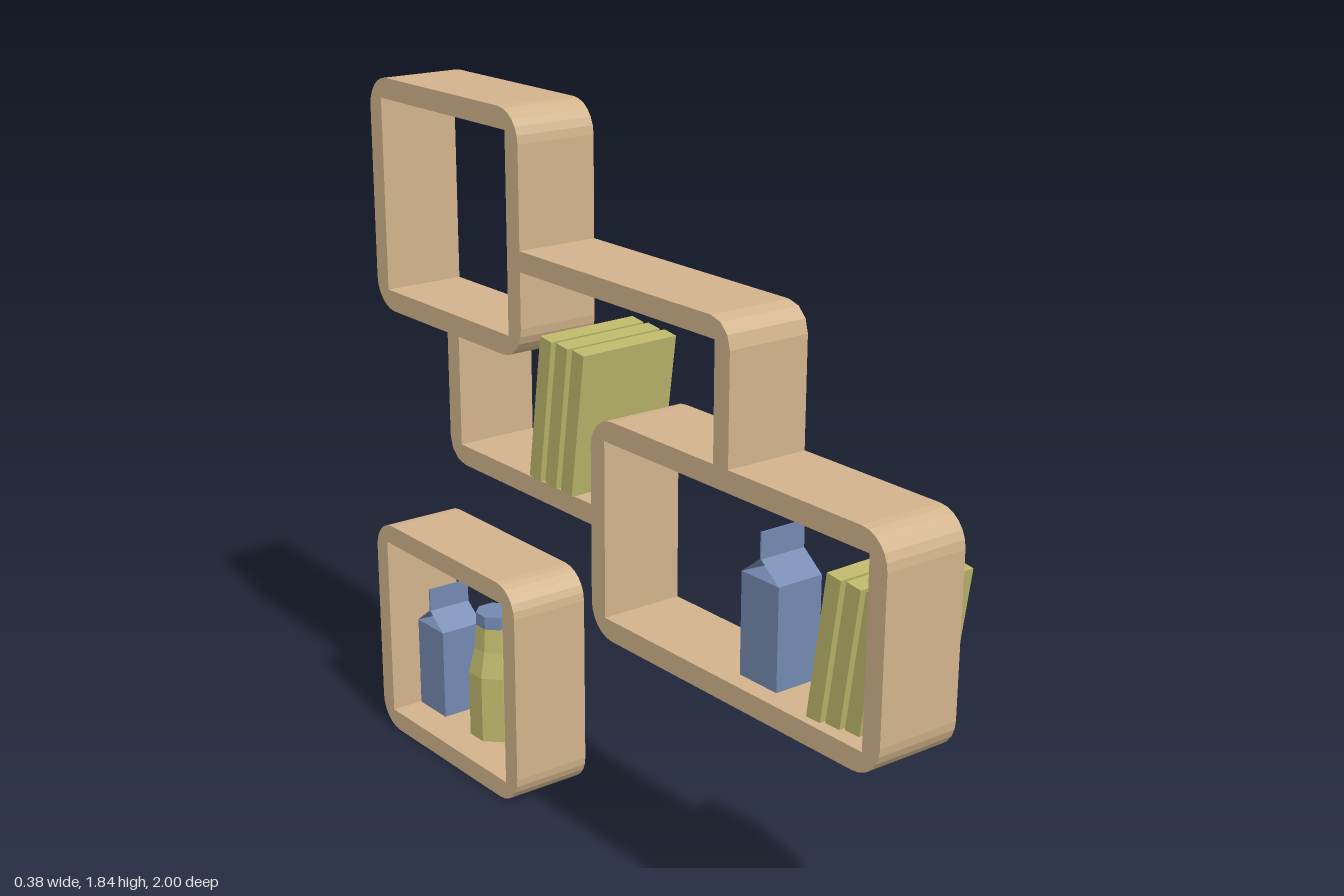
import * as THREE from 'three';

const wood = new THREE.MeshStandardMaterial({ color: 0xd2b48c });
const khaki = new THREE.MeshStandardMaterial({ color: 0xbdb76b, flatShading: true });
const blue = new THREE.MeshStandardMaterial({ color: 0x7489b0, flatShading: true, side: THREE.DoubleSide });

const FRONT = 0.09, DEPTH = 0.22, BOARD = 0.053;

function mesh(name, geometry, material, x = 0, y = 0, z = 0) {
  const m = new THREE.Mesh(geometry, material);
  m.name = name;
  m.position.set(x, y, z);
  return m;
}

// Outline drawn in (z, y), extruded across the shelf depth along x
function board(name, shape) {
  const geo = new THREE.ExtrudeGeometry(shape, { depth: DEPTH, bevelEnabled: false, curveSegments: 3 });
  geo.rotateY(-Math.PI / 2);
  return mesh(name, geo, wood, FRONT);
}

// Box frame: rounded outside, square opening
function frame(name, z0, z1, y0, y1) {
  const r = 0.08, t = BOARD, s = new THREE.Shape();
  s.absarc(z1 - r, y0 + r, r, -Math.PI / 2, 0);
  s.absarc(z1 - r, y1 - r, r, 0, Math.PI / 2);
  s.absarc(z0 + r, y1 - r, r, Math.PI / 2, Math.PI);
  s.absarc(z0 + r, y0 + r, r, Math.PI, Math.PI * 1.5);
  s.closePath();
  const hole = new THREE.Path();
  hole.moveTo(z0 + t, y0 + t);
  hole.lineTo(z0 + t, y1 - t);
  hole.lineTo(z1 - t, y1 - t);
  hole.lineTo(z1 - t, y0 + t);
  hole.closePath();
  s.holes.push(hole);
  return board(name, s);
}

// L-shaped connector: corner at (zc, yc), arms reaching zEnd and yEnd
function connector(name, zc, yc, zEnd, yEnd) {
  const r = 0.065, t = 0.051;
  const dz = Math.sign(zEnd - zc), dy = Math.sign(yEnd - yc);
  const s = new THREE.Shape();
  s.moveTo(zEnd, yc);
  s.lineTo(zc + dz * r, yc);
  for (let i = 1; i <= 3; i++) {
    const a = (i / 3) * Math.PI / 2;
    s.lineTo(zc + dz * r * (1 - Math.sin(a)), yc + dy * r * (1 - Math.cos(a)));
  }
  s.lineTo(zc, yEnd);
  s.lineTo(zc + dz * t, yEnd);
  s.lineTo(zc + dz * t, yc + dy * t);
  s.lineTo(zEnd, yc + dy * t);
  s.closePath();
  return board(name, s);
}

// Three leaning books, slightly staggered
function books(name, x, y, z) {
  const g = new THREE.Group();
  g.name = name;
  g.position.set(x, y, z);
  g.rotation.x = 0.145;
  for (let i = -1; i <= 1; i++) {
    const b = mesh('book', new THREE.BoxGeometry(0.275, 0.36, 0.043), khaki, i * 0.01, 0, i * 0.05);
    b.rotation.y = 0.025;
    g.add(b);
  }
  return g;
}

// Gable-top carton: ridge and fin run along x, gable ends folded inward
function carton(name, x, y, z) {
  const g = new THREE.Group();
  g.name = name;
  g.position.set(x, y, z);
  const w = 0.0625, h = 0.252, ridge = 0.3, top = 0.362;
  g.add(mesh('cartonBody', new THREE.BoxGeometry(2 * w, h, 2 * w), blue, 0, h / 2, 0));
  const v = [];
  for (const s of [1, -1]) {
    const a = [s * w, h, s * w], b = [s * w, h, -s * w], c = [-s * w, h, s * w];
    const r = [s * w, ridge, 0], q = [-s * w, ridge, 0], fold = [s * (w - 0.03), h + 0.028, 0];
    v.push(...c, ...a, ...r, ...c, ...r, ...q); // roof slope
    v.push(...a, ...b, ...fold, ...a, ...fold, ...r, ...b, ...r, ...fold); // folded gable
  }
  const roof = new THREE.BufferGeometry();
  roof.setAttribute('position', new THREE.Float32BufferAttribute(v, 3));
  roof.computeVertexNormals();
  g.add(mesh('cartonRoof', roof, blue));
  g.add(mesh('cartonFin', new THREE.BoxGeometry(2 * w, top - ridge + 0.004, 0.004), blue, 0, (top + ridge) / 2 - 0.002, 0));
  return g;
}

// Eight-sided bottle with a cap
function bottle(name, x, y, z) {
  const g = new THREE.Group();
  g.name = name;
  g.position.set(x, y, z);
  const lathe = (pts) => new THREE.LatheGeometry(pts.map(([r, h]) => new THREE.Vector2(r, h)), 8, Math.PI / 8);
  g.add(mesh('bottleBody', lathe([[0, 0], [0.078, 0], [0.078, 0.185], [0.061, 0.255], [0.055, 0.32], [0, 0.32]]), khaki));
  g.add(mesh('bottleCap', lathe([[0, 0.32], [0.055, 0.32], [0.055, 0.356], [0, 0.356]]), blue));
  return g;
}

export function createModel() {
  const model = new THREE.Group();
  model.name = 'wallShelf';
  model.add(
    frame('upperFrame', -0.94, -0.28, 1.23, 1.835),
    frame('middleFrame', 0, 1, 0.62, 1.17),
    frame('lowerFrame', -1, -0.335, 0, 0.613),
    connector('upperConnector', 0.5, 1.502, -0.28, 1.17),
    connector('lowerConnector', -0.607, 0.895, 0, 1.23),
    books('middleBooks', 0.04, 0.835, 0.84),
    books('connectorBooks', -0.04, 1.153, -0.075),
    carton('middleCarton', -0.02, 0.672, 0.558),
    carton('lowerCarton', 0, 0.072, -0.847),
    bottle('bottle', 0, 0.079, -0.613),
  );
  return model;
}
